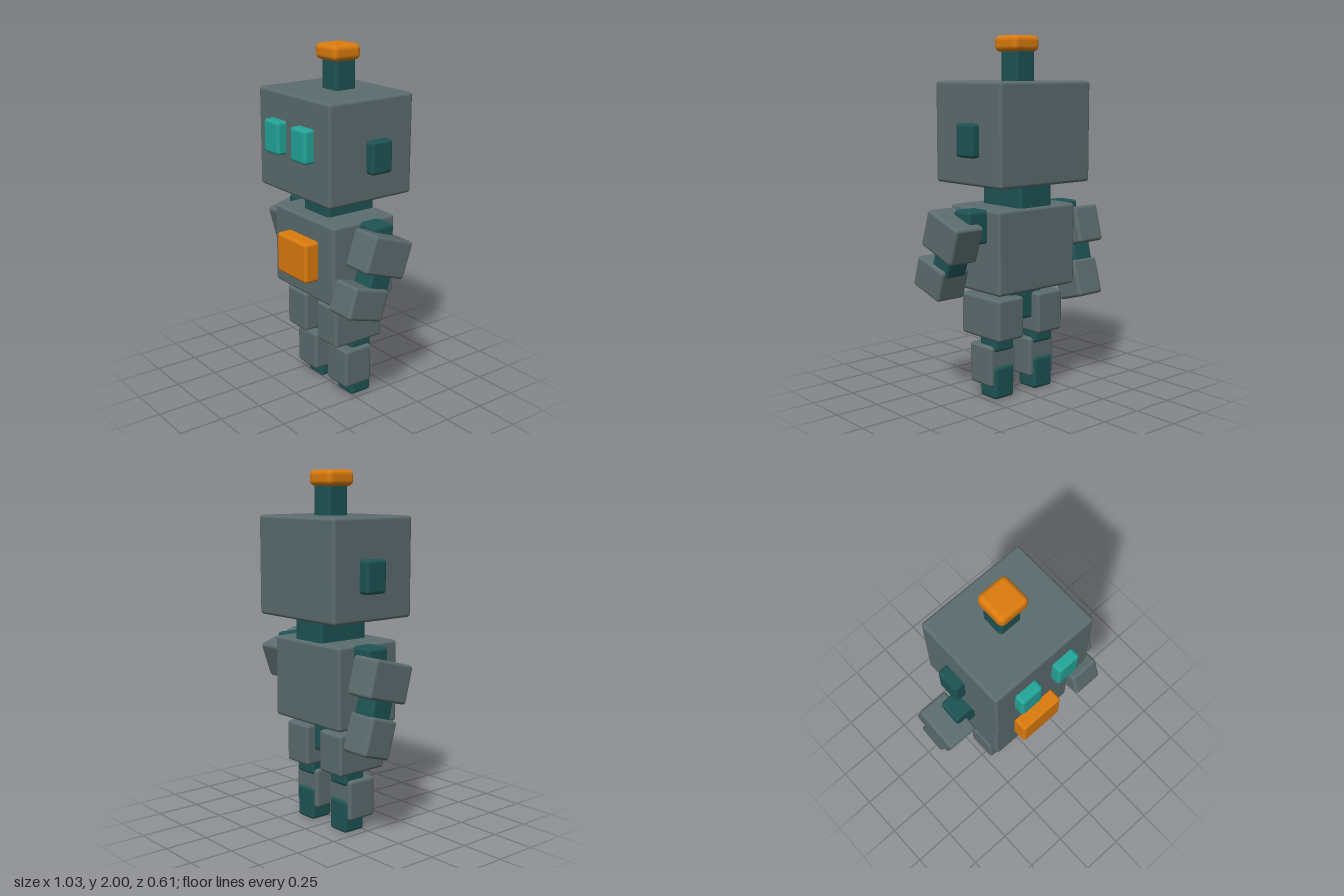
import * as THREE from 'three';
import { RoundedBoxGeometry } from 'three/addons/geometries/RoundedBoxGeometry.js';

const paint = (name, color) => {
  const m = new THREE.MeshStandardMaterial({ color });
  m.name = name;
  return m;
};

export function createModel() {
  const grey = paint('slateGrey', 0x5c6c6e);
  const dark = paint('darkTeal', 0x1e5354);
  const teal = paint('brightTeal', 0x23a599);
  const orange = paint('orange', 0xdb7b0e);

  const robot = new THREE.Group();
  robot.name = 'robot';

  // Rounded block from size and centre, optionally pitched about x
  function block(name, material, size, pos, pitch = 0, radius = 0.018, parent = robot) {
    const mesh = new THREE.Mesh(new RoundedBoxGeometry(...size, 3, radius), material);
    mesh.name = name;
    mesh.position.set(...pos);
    mesh.rotation.x = pitch;
    parent.add(mesh);
    return mesh;
  }

  // Head, neck and antenna
  block('head', grey, [0.65, 0.555, 0.555], [0.005, 1.478, -0.028]);
  block('neck', dark, [0.23, 0.2, 0.32], [0.003, 1.135, -0.06]);
  block('antennaStem', dark, [0.136, 0.24, 0.136], [-0.002, 1.83, -0.06]);
  block('antennaCap', orange, [0.184, 0.088, 0.184], [0, 1.956, -0.053], 0, 0.03);

  // Torso, chest panel and pelvis
  block('torso', grey, [0.558, 0.462, 0.42], [0.002, 0.845, -0.025]);
  block('chestPanel', orange, [0.278, 0.23, 0.13], [0.001, 0.845, 0.205]);
  block('pelvis', dark, [0.23, 0.22, 0.14], [-0.006, 0.54, -0.06]);

  for (const side of [1, -1]) {
    const label = side > 0 ? 'left' : 'right';

    // Eye, ear and shoulder joint
    block(label + 'Eye', teal, [0.138, 0.185, 0.11], [side * 0.125, 1.51, 0.251]);
    block(label + 'Ear', dark, [0.14, 0.182, 0.138], [side * 0.312, 1.445, -0.061]);
    block(label + 'Shoulder', dark, [0.2, 0.182, 0.138], [side * 0.3, 0.982, -0.063]);

    // Leg
    const x = side > 0 ? 0.151 : -0.139;
    const leg = new THREE.Group();
    leg.name = label + 'Leg';
    robot.add(leg);
    block('thigh', grey, [0.185, 0.236, 0.325], [x, 0.462, -0.024], 0, 0.018, leg);
    block('knee', dark, [0.138, 0.185, 0.138], [x, 0.366, -0.061], 0, 0.018, leg);
    block('shin', grey, [0.185, 0.23, 0.184], [x, 0.19, -0.024], 0, 0.018, leg);
    block('foot', dark, [0.138, 0.185, 0.138], [x, 0.095, -0.061], 0, 0.018, leg);
  }

  // Arms: the left swings forward, the right swings back
  const arms = [
    { label: 'left', side: 1, upper: [0.934, -0.012, -0.33], elbow: [0.815, 0.012, -0.33], fore: [0.691, 0.112, -0.29], size: [0.235, 0.178] },
    { label: 'right', side: -1, upper: [0.907, -0.075, 0.26], elbow: [0.775, -0.1, 0.26], fore: [0.608, -0.133, 0.29], size: [0.182, 0.213] },
  ];
  for (const { label, side, upper, elbow, fore, size } of arms) {
    const arm = new THREE.Group();
    arm.name = label + 'Arm';
    robot.add(arm);
    const part = (name, material, dims, x, [y, z, pitch]) =>
      block(name, material, dims, [side * x, y, z], pitch, 0.018, arm);
    part('upperArm', grey, [0.185, 0.212, 0.272], 0.422, upper);
    part('elbow', dark, [0.138, 0.185, 0.138], 0.408, elbow);
    part('forearm', grey, [0.185, size[1], size[0]], 0.407, fore);
  }

  return robot;
}
